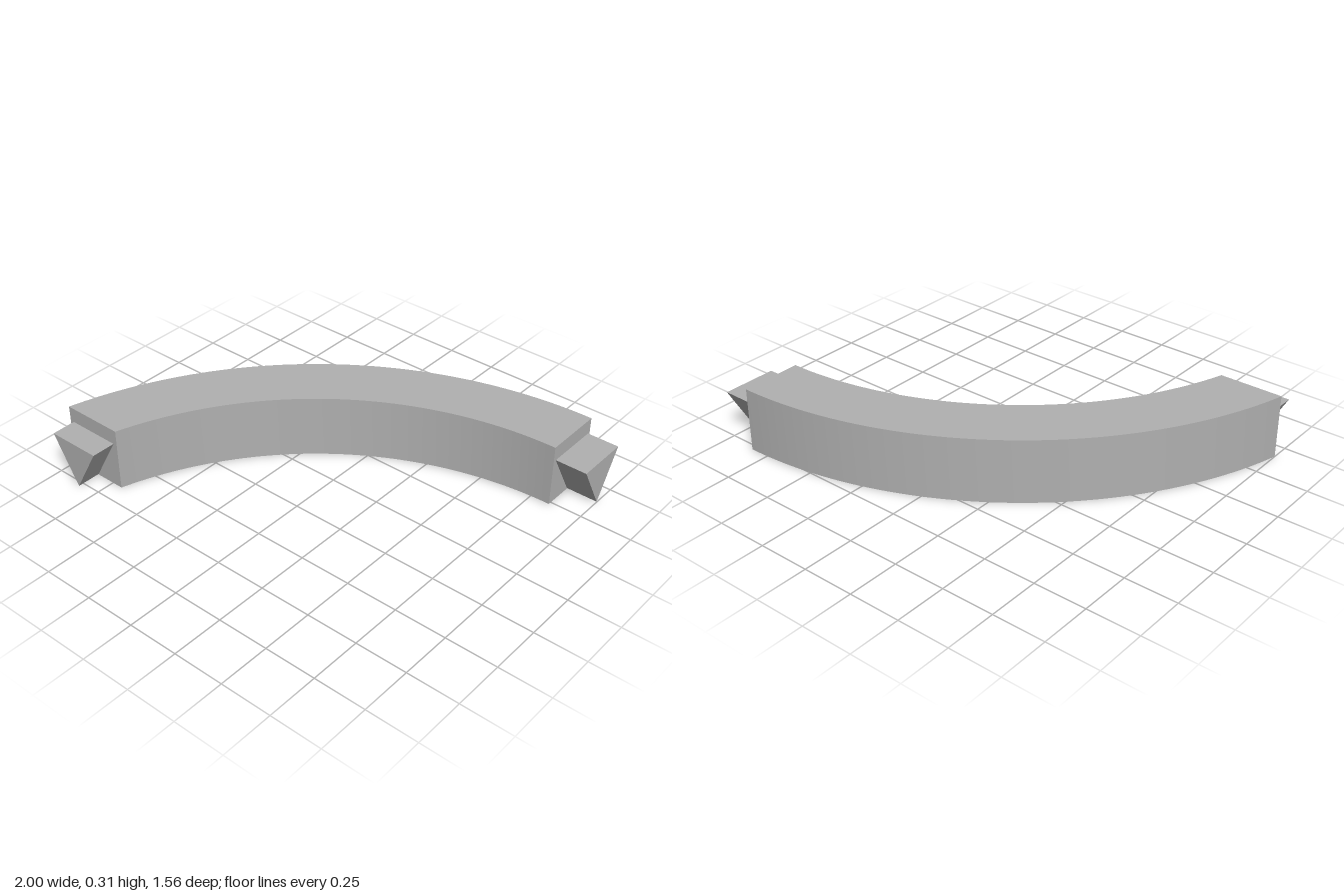
import * as THREE from 'three';
import { toCreasedNormals } from 'three/addons/utils/BufferGeometryUtils.js';

const HEIGHT = 0.308;
const CENTER_X = 0.845, CENTER_Z = 1.124; // centre of the bend
const R_OUTER = 1.902, R_INNER = 1.608;
const END_Z = 0.66; // flat front end of the bend

// Triangular key standing on its tip, extruded along +z
function keyGeometry(depth) {
  const shape = new THREE.Shape([
    new THREE.Vector2(0, 0.003),
    new THREE.Vector2(0.132, 0.233),
    new THREE.Vector2(-0.132, 0.233),
  ]);
  return new THREE.ExtrudeGeometry(shape, { depth, bevelEnabled: false });
}

// Curved bar with both ends cut square to the axes
function barGeometry() {
  const rise = CENTER_Z - END_Z;
  const startAngle = (r) => Math.PI - Math.asin(rise / r);
  const shape = new THREE.Shape();
  shape.absarc(CENTER_X, -CENTER_Z, R_OUTER, startAngle(R_OUTER), Math.PI / 2, true);
  shape.absarc(CENTER_X, -CENTER_Z, R_INNER, Math.PI / 2, startAngle(R_INNER), false);
  shape.closePath();
  const geometry = new THREE.ExtrudeGeometry(shape, {
    depth: HEIGHT, bevelEnabled: false, curveSegments: 32,
  });
  geometry.rotateX(-Math.PI / 2);
  return toCreasedNormals(geometry, 0.5);
}

export function createModel() {
  const group = new THREE.Group();
  group.name = 'curvedSegment';
  const grey = new THREE.MeshStandardMaterial({ color: 0xb0b0b0 });
  grey.name = 'grey';

  const add = (name, geometry, x, y, z) => {
    const mesh = new THREE.Mesh(geometry, grey);
    mesh.name = name;
    mesh.position.set(x, y, z);
    group.add(mesh);
    return mesh;
  };

  add('curvedBar', barGeometry(), 0, 0, 0);

  // Connecting keys on the two ends
  add('frontKey', keyGeometry(0.118), -0.847, 0, END_Z);
  add('leftKey', keyGeometry(0.155), CENTER_X, 0, -0.632).rotation.y = Math.PI / 2;

  return group;
}
